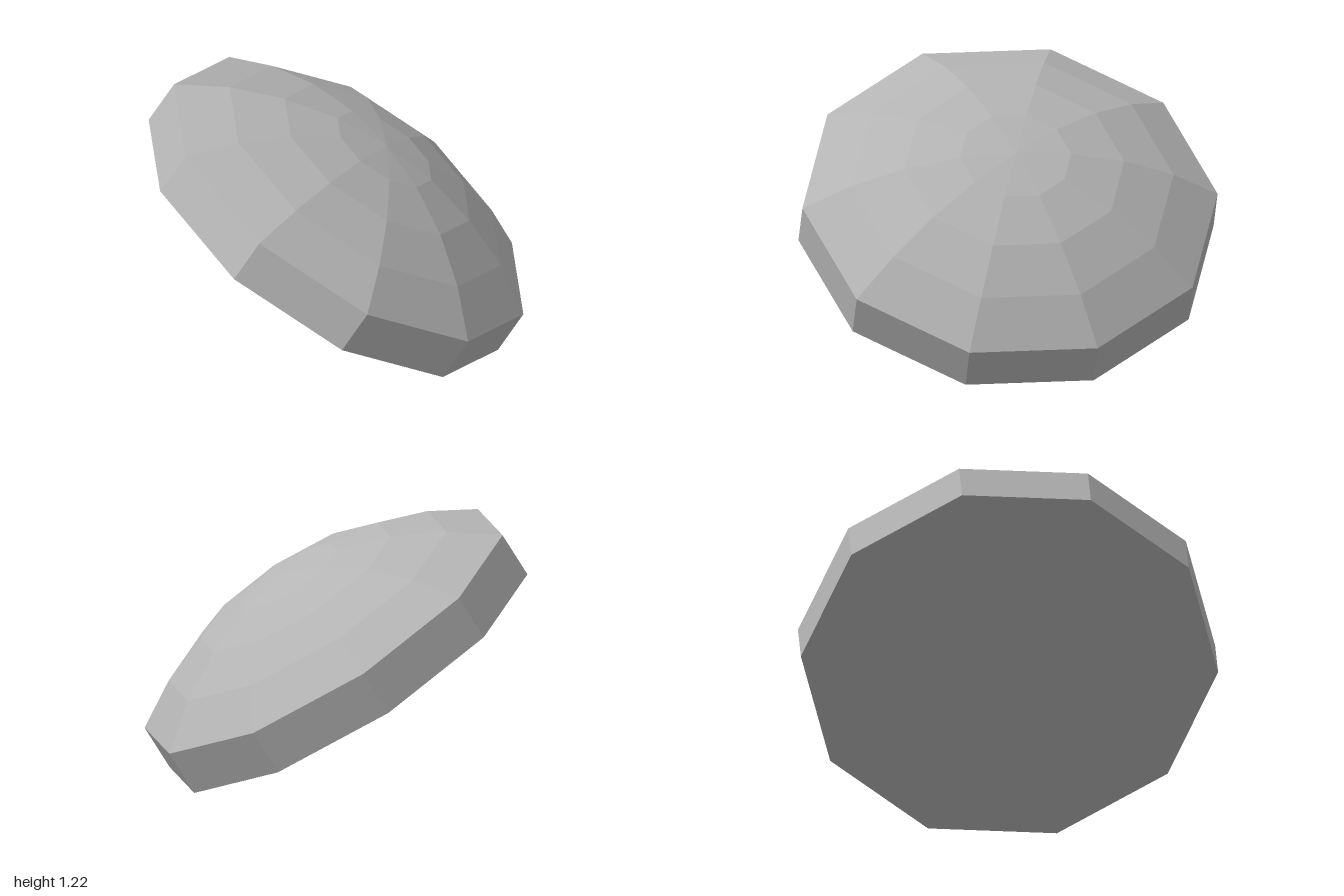
import * as THREE from 'three';

const SIDES = 10;
const RIM_HEIGHT = 0.23;
const DOME_HEIGHT = 0.348;
const DOME_RINGS = 4;

export function createModel() {
  const model = new THREE.Group();
  model.name = 'tiltedDome';
  const grey = new THREE.MeshStandardMaterial({ color: 0xb4b4b4, flatShading: true });
  grey.name = 'grey';

  const lathe = (name, points) => {
    const mesh = new THREE.Mesh(
      new THREE.LatheGeometry(points.map(([r, y]) => new THREE.Vector2(r, y)), SIDES), grey);
    mesh.name = name;
    return mesh;
  };

  // Ten-sided rim with a closed flat underside
  const rim = lathe('rim', [[0, 0], [1, 0], [1, RIM_HEIGHT]]);

  // Shallow spherical cap, faceted in equal angular steps
  const radius = (1 + DOME_HEIGHT ** 2) / (2 * DOME_HEIGHT);
  const halfAngle = Math.asin(1 / radius);
  const profile = [];
  for (let i = 0; i <= DOME_RINGS; i++) {
    const a = halfAngle * (1 - i / DOME_RINGS);
    profile.push([radius * Math.sin(a),
      RIM_HEIGHT + radius * (Math.cos(a) - Math.cos(halfAngle))]);
  }
  const dome = lathe('dome', profile);

  // The whole body leans toward +x, resting on its lower edge
  const body = new THREE.Group();
  body.name = 'body';
  body.add(rim, dome);
  body.rotation.set(-0.0075, -0.004, THREE.MathUtils.degToRad(-31.8));
  body.position.set(-0.06, 0.505, 0);
  model.add(body);
  return model;
}
